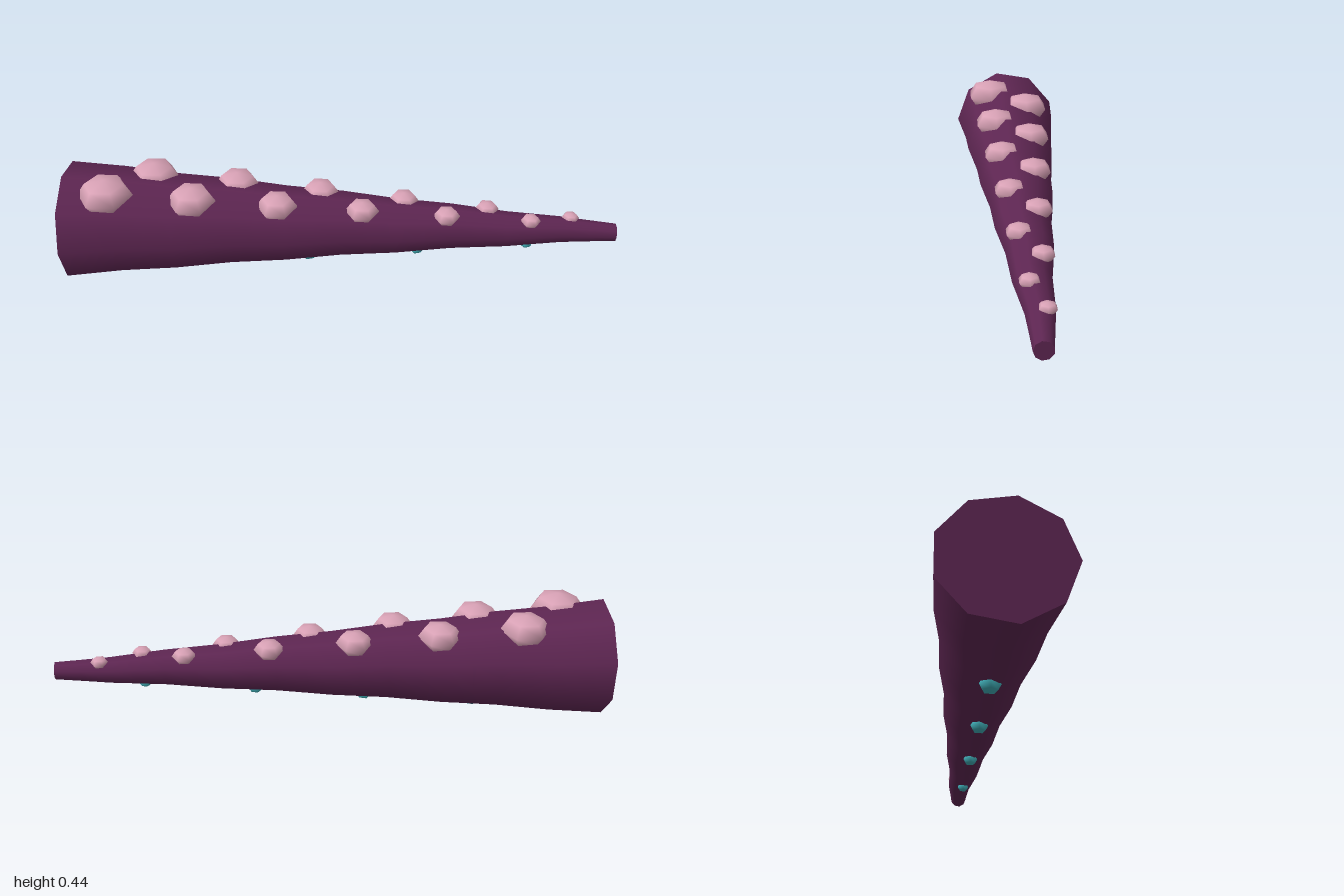
import * as THREE from 'three';

const material = (name, color) => {
  const m = new THREE.MeshStandardMaterial({ color });
  m.name = name;
  return m;
};

export function createModel() {
  const group = new THREE.Group();
  group.name = 'tentacle';
  const purple = material('purple skin', 0x5e2652);
  const pink = material('pink sucker', 0xd9a2b6);
  const teal = material('teal spot', 0x3fabb4);

  // Tapered nine-sided arm along x, with a slight ripple in its spine
  const armGeo = new THREE.CylinderGeometry(0.032, 0.215, 2, 9, 20);
  armGeo.rotateZ(-Math.PI / 2);
  const p = armGeo.attributes.position;
  for (let i = 0; i < p.count; i++) {
    const x = p.getX(i);
    const t = (x + 1) / 2;
    const linear = 0.215 + (0.032 - 0.215) * t;
    const k = (0.032 + 0.183 * Math.pow(Math.max(0, 1 - t), 1.06)) / linear;
    const cy = 0.212 + 0.006 * Math.sin(Math.PI * t);
    const cz = -0.011 + 0.004 * Math.cos(10 * Math.PI * t);
    p.setXYZ(i, x, cy + p.getY(i) * k, cz + p.getZ(i) * k);
  }
  const arm = new THREE.Mesh(armGeo, purple);
  arm.name = 'arm';
  group.add(arm);

  // Squashed low-poly bead; topY or bottomY is given through y and the sign
  const bead = (name, geo, mat, x, y, z, r, squash, sign) => {
    const mesh = new THREE.Mesh(geo, mat);
    mesh.name = name;
    mesh.scale.set(r, r * squash, r);
    mesh.position.set(x, y - sign * r * squash, z);
    group.add(mesh);
  };

  // Two staggered rows of suckers on top: [z, top y, radius]
  const suckerGeo = new THREE.SphereGeometry(1, 6, 4);
  const rows = [
    { start: -0.84, items: [[0.065, 0.437, 0.1], [0.055, 0.405, 0.088], [0.045, 0.375, 0.075],
      [0.033, 0.346, 0.062], [0.021, 0.316, 0.05], [0.01, 0.288, 0.037]] },
    { start: -0.69, items: [[-0.078, 0.421, 0.092], [-0.073, 0.392, 0.081], [-0.064, 0.363, 0.069],
      [-0.054, 0.333, 0.056], [-0.044, 0.304, 0.044], [-0.032, 0.274, 0.032]] },
  ];
  rows.forEach(({ start, items }) => items.forEach(([z, top, r], i) =>
    bead('sucker', suckerGeo, pink, start + i * 0.305, top, z, r, 0.6, 1)));

  // Small spots along the underside
  const spotGeo = new THREE.SphereGeometry(1, 5, 4);
  for (let i = 0; i < 4; i++) {
    bead('spot', spotGeo, teal, -0.525 + i * 0.402, 0.021 + i * 0.0387, -0.008,
      0.038 - i * 0.0048, 0.7, -1);
  }
  return group;
}
